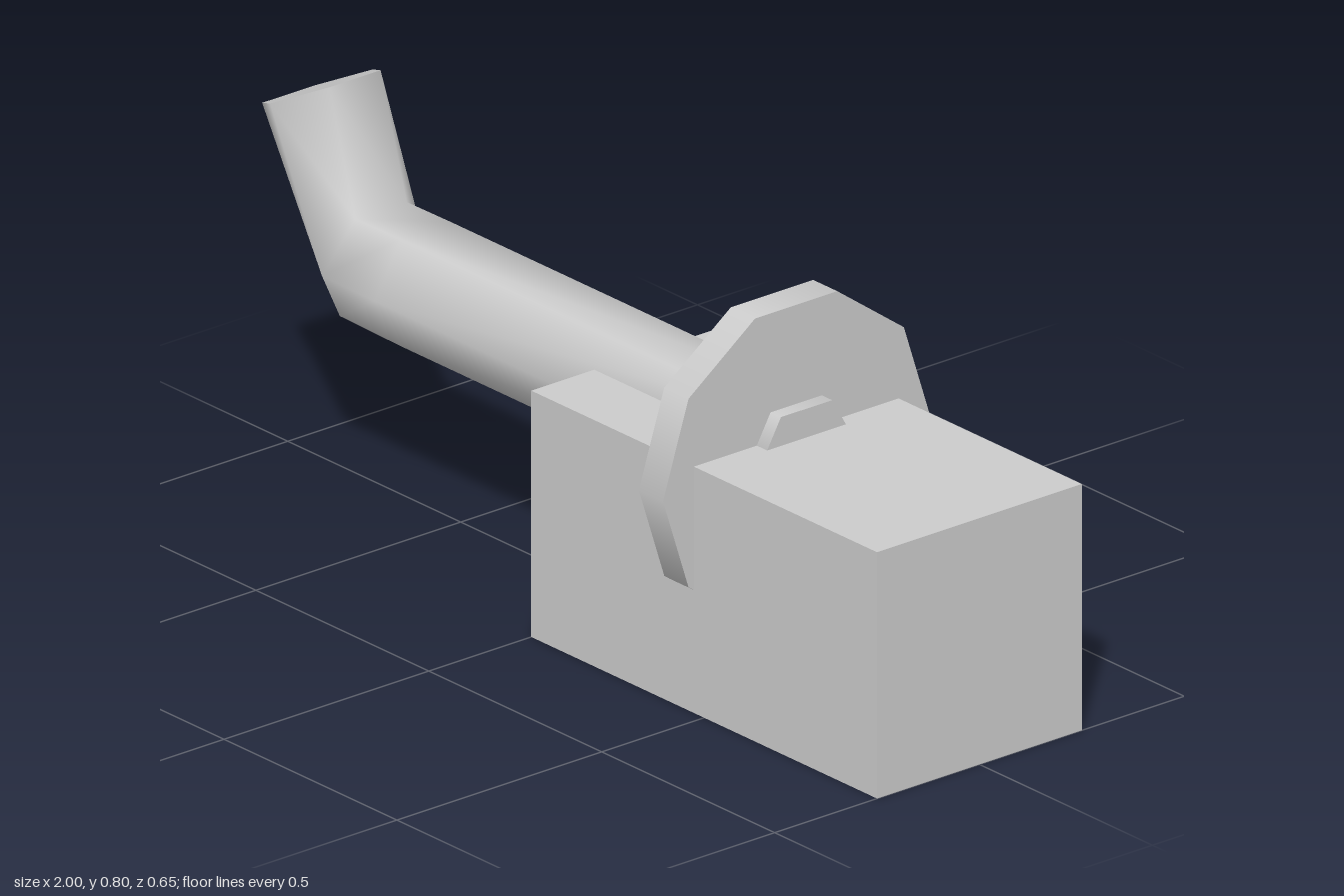
import * as THREE from 'three';

// Hexagonal rod swept through [x, y, tilt] sections, smooth sides and flat end caps
function bentRod(sections, radius, sides) {
  const positions = [];
  const index = [];
  const addRing = ([x, y, tilt]) => {
    const start = positions.length / 3;
    for (let i = 0; i < sides; i++) {
      const a = (i / sides) * Math.PI * 2;
      const up = Math.sin(a) * radius;
      positions.push(x + Math.sin(tilt) * up, y + Math.cos(tilt) * up, Math.cos(a) * radius);
    }
    return start;
  };

  // sides
  const rings = sections.map(addRing);
  for (let s = 0; s < rings.length - 1; s++) {
    for (let i = 0; i < sides; i++) {
      const j = (i + 1) % sides;
      const a = rings[s] + i, b = rings[s] + j;
      const c = rings[s + 1] + i, d = rings[s + 1] + j;
      index.push(a, b, c, b, d, c);
    }
  }

  // end caps
  const first = addRing(sections[0]);
  const last = addRing(sections[sections.length - 1]);
  for (let i = 1; i < sides - 1; i++) {
    index.push(first, first + i + 1, first + i);
    index.push(last, last + i, last + i + 1);
  }

  const geometry = new THREE.BufferGeometry();
  geometry.setAttribute('position', new THREE.Float32BufferAttribute(positions, 3));
  geometry.setIndex(index);
  geometry.computeVertexNormals();
  return geometry;
}

export function createModel() {
  const group = new THREE.Group();
  const grey = new THREE.MeshStandardMaterial({ color: 0xcccccc });
  grey.name = 'light grey';

  const add = (name, geometry, x = 0, y = 0, z = 0) => {
    const mesh = new THREE.Mesh(geometry, grey);
    mesh.name = name;
    mesh.position.set(x, y, z);
    group.add(mesh);
  };

  // solid block
  add('block', new THREE.BoxGeometry(1, 0.5, 0.5), 0.5, 0.25, 0);

  // ten-sided disc standing across the rod
  add('disc', new THREE.CylinderGeometry(0.325, 0.325, 0.07, 10).rotateZ(Math.PI / 2), 0.435, 0.45, 0);

  // rod sunk into the block, with its free end bent upwards
  const rod = bentRod([
    [0.5, 0.45, 0],
    [-0.6, 0.45, 0],
    [-0.753, 0.451, 0.21],
    [-0.903, 0.752, 1.115],
  ], 0.125, 6);
  add('bentRod', rod);

  return group;
}
